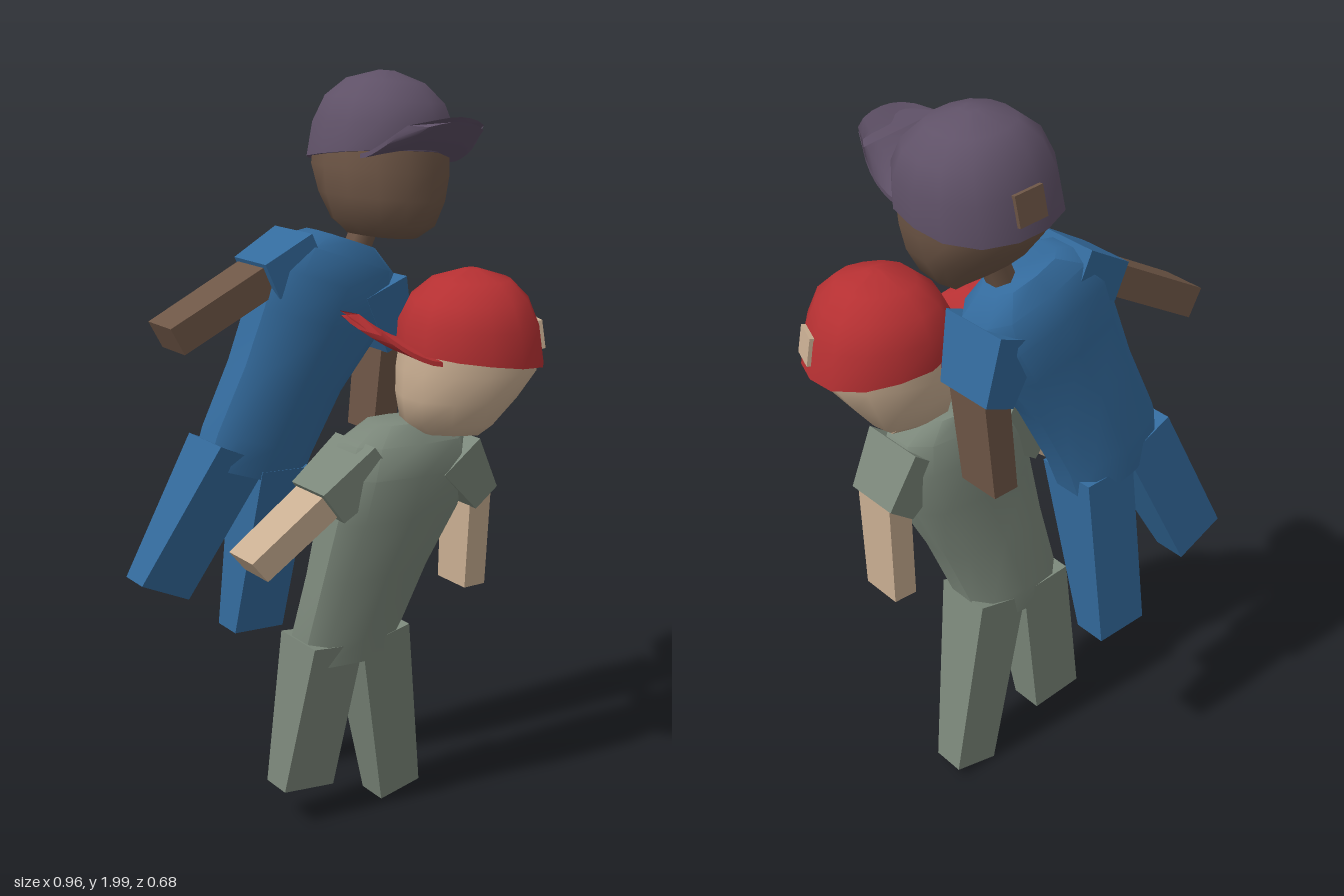
import * as THREE from 'three';
import { toCreasedNormals } from 'three/addons/utils/BufferGeometryUtils.js';

const V = (x, y, z) => new THREE.Vector3(x, y, z);
const paint = (color) => new THREE.MeshStandardMaterial({ color });

// Closed skin over a list of equal-length rings, wound outward.
function loft(rings, crease = 0.6) {
  const n = rings[0].length;
  const pts = rings.flat();
  const tris = [];
  for (let i = 0; i < rings.length - 1; i++) {
    for (let j = 0; j < n; j++) {
      const a = i * n + j, b = i * n + (j + 1) % n;
      tris.push([a, a + n, b], [b, a + n, b + n]);
    }
  }
  const last = (rings.length - 1) * n;
  for (let j = 1; j < n - 1; j++) {
    tris.push([0, j, j + 1], [last, last + j + 1, last + j]);
  }
  let volume = 0;
  for (const [a, b, c] of tris) volume += pts[a].dot(V(0, 0, 0).crossVectors(pts[b], pts[c]));
  const index = tris.flatMap(([a, b, c]) => (volume < 0 ? [a, c, b] : [a, b, c]));
  const geo = new THREE.BufferGeometry().setFromPoints(pts);
  geo.setIndex(index);
  return toCreasedNormals(geo.toNonIndexed(), crease);
}

function add(group, name, geo, mat) {
  const mesh = new THREE.Mesh(geo, mat);
  mesh.name = name;
  group.add(mesh);
  return mesh;
}

// Four-sided limb; each stop is [x, y, z, half width, half depth].
function limb(group, name, mat, stops) {
  const a = stops[0], b = stops[stops.length - 1];
  const dir = V(b[0] - a[0], b[1] - a[1], 0).normalize();
  const side = V(-dir.y, dir.x, 0);
  const rings = stops.map(([x, y, z, w, d]) =>
    [[1, 1], [1, -1], [-1, -1], [-1, 1]].map(([s, t]) =>
      V(x, y, z + t * d).addScaledVector(side, s * w)));
  add(group, name, loft(rings, 0.3), mat);
}

// Torso from chamfered sections; each stop is [x, y, z, half width, half depth].
function torso(group, mat, tilt, stops) {
  const outline = [[1, 0.45], [0.72, 0.9], [0, 1], [-0.72, 0.9], [-1, 0.45],
    [-1, -0.45], [-0.72, -0.9], [0, -1], [0.72, -0.9], [1, -0.45]];
  const rings = stops.map(([x, y, z, w, d]) => outline.map(([s, t]) =>
    V(x + s * w * Math.cos(tilt), y + s * w * Math.sin(tilt), z + t * d)));
  add(group, 'torso', loft(rings, 0.75), mat);
}

// Egg section with separate front and back reach; slope raises the front.
function eggRing(y, rx, front, back, slope = 0) {
  return Array.from({ length: 14 }, (_, i) => {
    const a = (i / 14) * Math.PI * 2;
    const c = Math.cos(a), s = Math.sin(a);
    const round = 1 / Math.pow(Math.abs(c) ** 2.4 + Math.abs(s) ** 2.4, 1 / 2.4);
    const z = s * round * (s > 0 ? front : back);
    return V(c * round * rx, y + slope * z, z);
  });
}

// Head and cap facing +z, with the origin at the cap rim.
function head(skin, capMat) {
  const g = new THREE.Group();
  g.name = 'head';
  add(g, 'face', loft([
    eggRing(-0.2, 0.085, 0.14, 0.0),
    eggRing(-0.165, 0.13, 0.18, 0.055),
    eggRing(-0.1, 0.16, 0.19, 0.115),
    eggRing(-0.03, 0.173, 0.188, 0.172),
    eggRing(0.04, 0.17, 0.178, 0.172),
  ], 0.9), skin);
  add(g, 'cap', loft([
    eggRing(0, 0.184, 0.187, 0.19, 0.14),
    eggRing(0.08, 0.178, 0.183, 0.175, 0.05),
    eggRing(0.145, 0.152, 0.155, 0.145),
    eggRing(0.192, 0.1, 0.1, 0.1),
    eggRing(0.218, 0.02, 0.02, 0.02),
  ], 0.9), capMat);

  // Upturned, arched brim
  const rows = 6, cols = 8;
  const brim = [];
  for (let i = 0; i <= rows; i++) {
    const v = i / rows;
    const top = Array.from({ length: cols + 1 }, (_, j) => {
      const u = (j / cols) * 2 - 1;
      const start = 0.175 - 0.06 * u * u;
      const end = 0.335 - 0.02 * u * u - 0.05 * u ** 6;
      return V(u * (0.142 - 0.03 * v ** 3), 0.04 + 0.08 * v ** 1.6 - 0.03 * u * u,
        start + (end - start) * v);
    });
    brim.push([...top, ...top.map((p) => V(p.x, p.y - 0.012, p.z)).reverse()]);
  }
  add(g, 'capBrim', loft(brim, 0.7), capMat);

  // Skin showing through the opening at the back of the cap
  const gap = add(g, 'capOpening', new THREE.BoxGeometry(0.08, 0.075, 0.012), skin);
  gap.position.set(0, 0.045, -0.181);
  gap.rotation.x = 0.16;
  return g;
}

function neck(group, mat, from, to) {
  const geo = new THREE.CylinderGeometry(0.036, 0.036, from.distanceTo(to), 6);
  const mesh = add(group, 'neck', geo, mat);
  mesh.position.copy(from).lerp(to, 0.5);
  mesh.quaternion.setFromUnitVectors(V(0, 1, 0), to.clone().sub(from).normalize());
}

function figure(name, o) {
  const g = new THREE.Group();
  g.name = name;
  const skin = paint(o.skin), cloth = paint(o.cloth);
  torso(g, cloth, o.tilt, o.torso);
  ['right', 'left'].forEach((side, i) => {
    limb(g, side + 'Sleeve', cloth, o.sleeves[i]);
    limb(g, side + 'Arm', skin, o.arms[i]);
    limb(g, side + 'Leg', cloth, o.legs[i]);
  });
  neck(g, skin, ...o.neck);
  const h = head(skin, paint(o.cap));
  h.position.copy(o.headAt);
  h.rotation.set(0, o.yaw, o.roll, 'ZYX');
  g.add(h);
  return g;
}

export function createModel() {
  const model = new THREE.Group();
  model.name = 'twoFriends';

  model.add(figure('frontChild', {
    skin: 0xc9ae92, cloth: 0x7b877a, cap: 0xb53032, tilt: -0.03,
    torso: [
      [0.0, 0.48, -0.015, 0.145, 0.083], [0.005, 0.55, -0.01, 0.148, 0.088],
      [0.05, 0.72, 0.02, 0.165, 0.09], [0.1, 0.88, 0.045, 0.192, 0.105],
      [0.122, 1.0, 0.06, 0.195, 0.11], [0.13, 1.08, 0.06, 0.168, 0.095],
      [0.135, 1.125, 0.05, 0.095, 0.06]],
    sleeves: [
      [[0.02, 1.045, 0.06, 0.06, 0.09], [-0.12, 0.94, 0.045, 0.052, 0.075]],
      [[0.25, 1.03, 0.07, 0.07, 0.095], [0.345, 0.9, 0.07, 0.043, 0.08]]],
    arms: [
      [[-0.09, 0.965, 0.045, 0.038, 0.062], [-0.305, 0.79, 0.005, 0.036, 0.058]],
      [[0.342, 0.93, 0.065, 0.034, 0.065], [0.341, 0.64, 0.052, 0.034, 0.06]]],
    legs: [
      [[-0.072, 0.54, -0.012, 0.077, 0.083], [-0.118, 0.11, -0.055, 0.078, 0.046]],
      [[0.078, 0.54, -0.012, 0.077, 0.083], [0.186, 0.022, -0.055, 0.066, 0.046]]],
    neck: [V(0.19, 1.07, 0.07), V(0.23, 1.18, 0.12)],
    headAt: V(0.285, 1.3, 0.14), yaw: -1.92, roll: 0,
  }));

  model.add(figure('backChild', {
    skin: 0x6e5646, cloth: 0x336a9c, cap: 0x5f5167, tilt: -0.34,
    torso: [
      [-0.17, 0.96, -0.225, 0.148, 0.085], [-0.145, 1.05, -0.212, 0.15, 0.095],
      [-0.07, 1.22, -0.19, 0.155, 0.1], [0.0, 1.36, -0.172, 0.18, 0.106],
      [0.042, 1.46, -0.165, 0.195, 0.11], [0.068, 1.53, -0.16, 0.168, 0.095],
      [0.088, 1.573, -0.16, 0.095, 0.06]],
    sleeves: [
      [[-0.03, 1.55, -0.165, 0.062, 0.09], [-0.16, 1.49, -0.175, 0.05, 0.078]],
      [[0.165, 1.45, -0.16, 0.068, 0.1], [0.228, 1.285, -0.17, 0.045, 0.085]]],
    arms: [
      [[-0.12, 1.51, -0.175, 0.04, 0.064], [-0.405, 1.355, -0.212, 0.04, 0.06]],
      [[0.225, 1.31, -0.175, 0.038, 0.066], [0.21, 1.04, -0.195, 0.036, 0.062]]],
    legs: [
      [[-0.23, 1.04, -0.218, 0.077, 0.085], [-0.41, 0.66, -0.298, 0.076, 0.046]],
      [[-0.1, 0.98, -0.218, 0.077, 0.085], [-0.125, 0.495, -0.298, 0.076, 0.046]]],
    neck: [V(0.11, 1.5, -0.15), V(0.17, 1.65, -0.14)],
    headAt: V(0.203, 1.78, -0.15), yaw: 0, roll: -0.09,
  }));

  return model;
}
